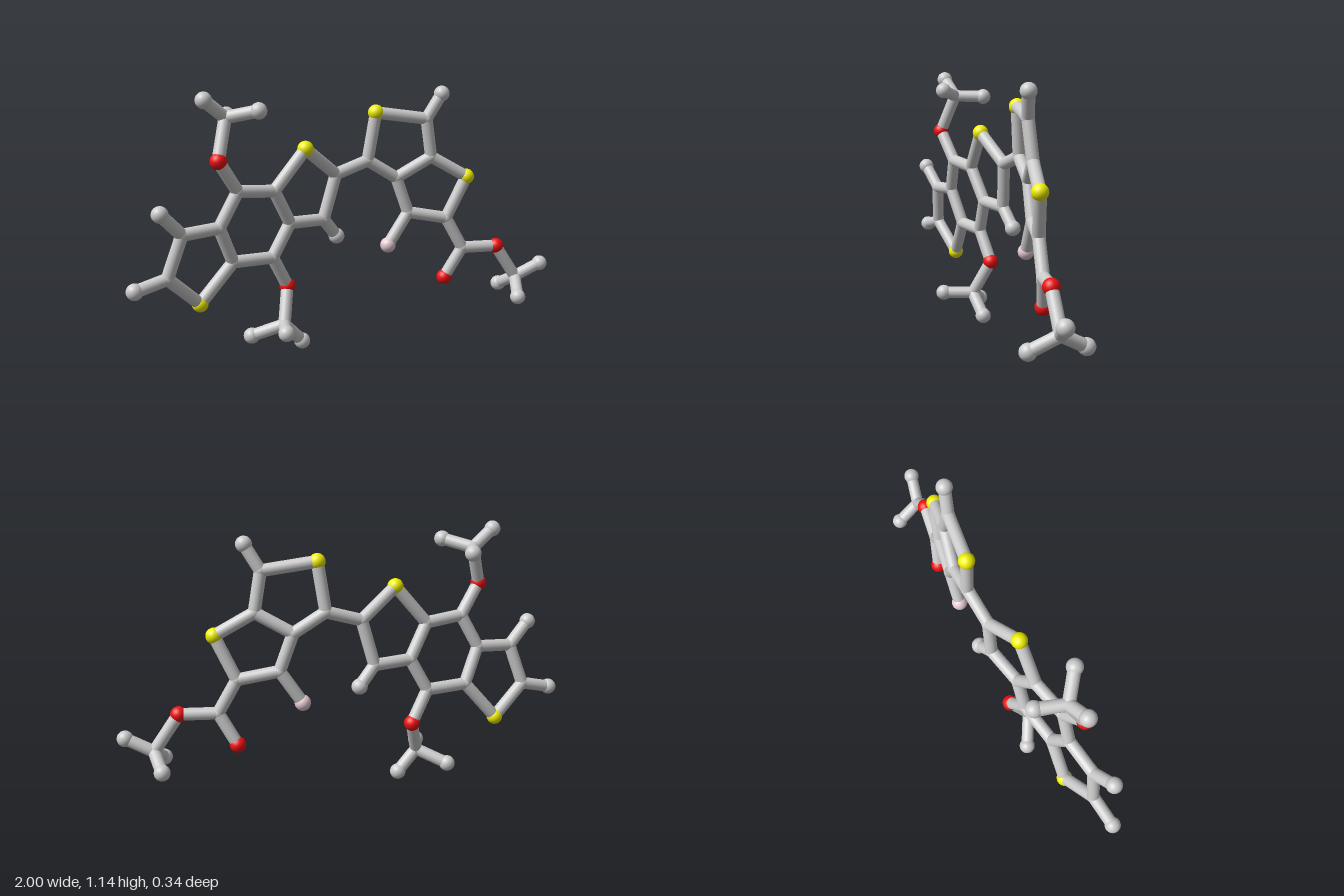
import * as THREE from 'three';

const BOND_RADIUS = 0.027;
const grey = new THREE.MeshStandardMaterial({ color: 0xcccccc });
const tint = (color) => {
  const m = new THREE.MeshStandardMaterial();
  m.color.set(color);
  return m;
};

// Atom kinds: sphere radius and material
const KINDS = {
  carbon: { radius: 0.0285, material: grey },
  hydrogen: { radius: 0.035, material: grey },
  sulfur: { radius: 0.035, material: tint(0xf0f000) },
  oxygen: { radius: 0.035, material: tint(0xf01010) },
  fluorine: { radius: 0.035, material: tint(0xe8ccd4) },
};
const LETTERS = { C: 'carbon', H: 'hydrogen', S: 'sulfur', O: 'oxygen', F: 'fluorine' };

// Each fragment lists its atoms (first letter = kind) and chains of bonded atoms
const FRAGMENTS = {
  tripleRing: {
    atoms: {
      S1: [-0.675, 0.257, -0.045], Ca: [-0.825, 0.39, 0.0], Cb: [-0.765, 0.57, 0.02],
      Cc: [-0.6, 0.58, 0.0], Cd: [-0.52, 0.727, 0.01], Ch: [-0.347, 0.711, -0.02],
      Cg: [-0.262, 0.561, -0.055], Ci: [-0.342, 0.417, -0.06], Cj: [-0.53, 0.422, -0.035],
      S2: [-0.203, 0.88, -0.018], Ce: [-0.037, 0.754, -0.07], Cf: [-0.09, 0.556, -0.085],
      H1: [-0.965, 0.357, 0.015], H2: [-0.862, 0.667, 0.05], H3: [-0.018, 0.472, -0.105],
    },
    chains: ['S1 Ca Cb Cc Cj S1', 'Cc Cd Ch Cg Ci Cj', 'Ch S2 Ce Cf Cg', 'Ca H1', 'Cb H2', 'Cf H3'],
  },
  upperMethoxy: {
    atoms: {
      O1: [-0.613, 0.862, 0.045], Cu: [-0.56, 1.03, -0.01],
      H4: [-0.657, 1.105, 0.012], H5: [-0.45, 1.06, 0.08], H6: [-0.51, 1.027, -0.133],
    },
    chains: ['Cd O1 Cu H4', 'Cu H5', 'Cu H6'],
  },
  lowerMethoxy: {
    atoms: {
      O2: [-0.264, 0.278, -0.087], Cv: [-0.31, 0.127, -0.015],
      H7: [-0.432, 0.073, -0.09], H8: [-0.219, 0.037, -0.035], H9: [-0.354, 0.128, 0.113],
    },
    chains: ['Ci O2 Cv H7', 'Cv H8', 'Cv H9'],
  },
  doubleRing: {
    atoms: {
      Ck: [0.123, 0.802, -0.08], S3: [0.153, 1.014, -0.06], Cl: [0.385, 0.98, -0.02],
      Cm: [0.417, 0.807, -0.03], Cn: [0.262, 0.717, -0.07], S4: [0.583, 0.711, 0.005],
      Co: [0.497, 0.522, -0.025], Cp: [0.321, 0.556, -0.065],
      H10: [0.448, 1.09, 0.002], F1: [0.225, 0.412, -0.075],
    },
    chains: ['Ce Ck S3 Cl Cm Cn Ck', 'Cm S4 Co Cp Cn', 'Cl H10', 'Cp F1'],
  },
  methylEster: {
    atoms: {
      Cq: [0.578, 0.378, -0.012], O3: [0.503, 0.24, -0.043], O4: [0.741, 0.377, 0.02],
      Cw: [0.85, 0.22, 0.025],
      H11: [0.965, 0.278, 0.057], H12: [0.795, 0.152, 0.133], H13: [0.832, 0.163, -0.086],
    },
    chains: ['Co Cq O4 Cw H11', 'Cq O3', 'Cw H12', 'Cw H13'],
  },
};

const UP = new THREE.Vector3(0, 1, 0);
const unitBall = new THREE.SphereGeometry(1, 28, 18);

function makeAtom(id, position) {
  const kind = LETTERS[id[0]];
  const mesh = new THREE.Mesh(unitBall, KINDS[kind].material);
  mesh.name = kind + 'Atom';
  mesh.scale.setScalar(KINDS[kind].radius);
  mesh.position.copy(position);
  return mesh;
}

// Cylinder stretched between two atom centres
function makeBond(a, b) {
  const dir = b.clone().sub(a);
  const geometry = new THREE.CylinderGeometry(BOND_RADIUS, BOND_RADIUS, dir.length(), 24, 1, true);
  const mesh = new THREE.Mesh(geometry, grey);
  mesh.name = 'bond';
  mesh.position.copy(a).add(b).multiplyScalar(0.5);
  mesh.quaternion.setFromUnitVectors(UP, dir.normalize());
  return mesh;
}

export function createModel() {
  const model = new THREE.Group();
  model.name = 'moleculeModel';
  const centres = {};
  for (const [name, { atoms, chains }] of Object.entries(FRAGMENTS)) {
    const group = new THREE.Group();
    group.name = name;
    for (const [id, xyz] of Object.entries(atoms)) {
      centres[id] = new THREE.Vector3(...xyz);
      group.add(makeAtom(id, centres[id]));
    }
    for (const chain of chains) {
      const ids = chain.split(' ');
      for (let i = 1; i < ids.length; i++) group.add(makeBond(centres[ids[i - 1]], centres[ids[i]]));
    }
    model.add(group);
  }
  return model;
}
